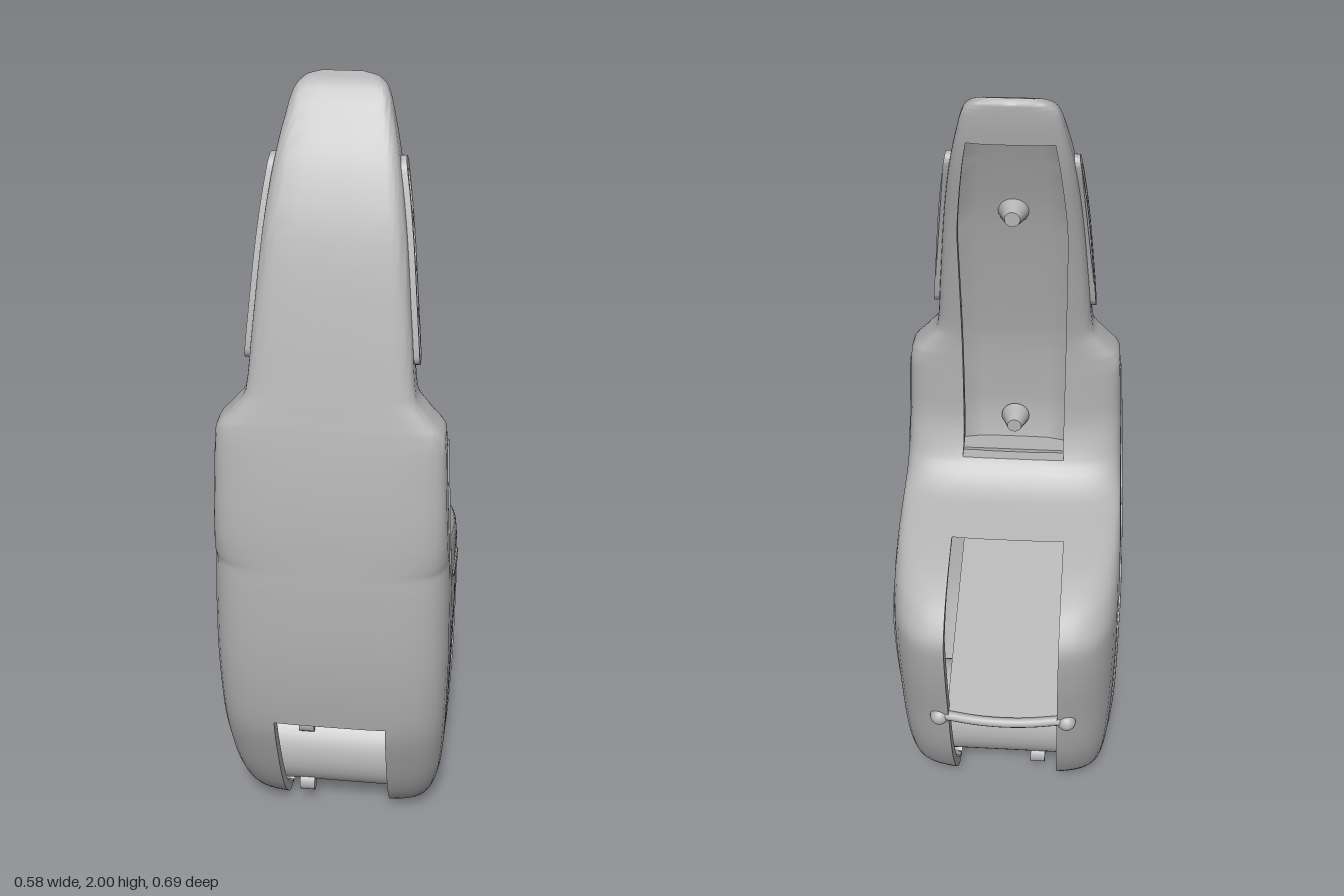
import * as THREE from 'three';
import { toCreasedNormals } from 'three/addons/utils/BufferGeometryUtils.js';

const grey = new THREE.MeshStandardMaterial({ color: 0xb4b4b4, side: THREE.DoubleSide });
grey.name = 'plain grey';

// height, half width, back z, front z
const PROFILE = [
  [0, .175, .005, .005], [.02, .215, -.06, .075], [.05, .242, -.10, .115], [.135, .268, -.173, .185],
  [.28, .282, -.244, .257], [.44, .288, -.288, .313], [.63, .29, -.335, .338], [.73, .288, -.348, .343],
  [.80, .287, -.302, .344], [.85, .285, -.212, .344], [.885, .283, -.09, .343], [.92, .281, .055, .342],
  [.98, .278, .125, .34], [1.1, .272, .16, .33], [1.25, .263, .158, .308], [1.29, .23, .155, .30],
  [1.34, .193, .147, .29], [1.47, .18, .12, .263], [1.68, .16, .07, .212], [1.82, .14, .03, .158],
  [1.92, .118, .008, .1], [1.97, .102, .002, .064], [1.99, .08, .001, .042], [2, .045, .015, .015],
];

// Smooth monotone interpolation of one profile column
function column(y, k) {
  const P = PROFILE, last = P.length - 1;
  let i = 0;
  while (i < last - 1 && y > P[i + 1][0]) i++;
  const sec = j => (P[j + 1][k] - P[j][k]) / (P[j + 1][0] - P[j][0]);
  const slope = j => {
    if (j === 0) return sec(0);
    if (j === last) return sec(last - 1);
    const a = sec(j - 1), b = sec(j);
    return a * b <= 0 ? 0 : 2 * a * b / (a + b);
  };
  const h = P[i + 1][0] - P[i][0], t = (y - P[i][0]) / h, s = 1 - t;
  return P[i][k] * (1 + 2 * t) * s * s + h * slope(i) * t * s * s
    + P[i + 1][k] * t * t * (3 - 2 * t) - h * slope(i + 1) * t * t * s;
}
const section = y => ({ w: column(y, 1), zb: column(y, 2), zf: column(y, 3) });

const K = 9, N = 6, BACK = 3.8;
// The front edge is squarer on the arm and its rounding has a limited depth
const frontPower = y => 4 + 2 * THREE.MathUtils.smoothstep(y, 1.1, 1.35);
const frontMid = (zb, zf) => Math.max((zb + zf) / 2, zf - .17);

// Half width of the slot, openings and recess
const openingWidth = (y, w) => y < .9 ? .14 : Math.min(.14 - .012 * Math.min(1, (y - .9) / .1), .78 * w);

// Closed rounded outline at height y; its straight spans lie between the opening edges
function ring(y, inner) {
  let { w, zb, zf } = section(y);
  const c = openingWidth(y, w);
  if (inner) {
    const depth = zf - zb, arm = y > .95;
    zf -= arm ? .57 * depth : Math.min(.035, .3 * depth);
    zb += arm ? .15 * depth : Math.min(.035, .3 * depth);
    w = arm ? c + .005 : Math.max(w - .03, c + .008);
  }
  const front = [frontMid(zb, zf), zf, frontPower(y)], back = [(zb + zf) / 2, zb, BACK];
  const zAt = (x, [mid, end, n]) =>
    mid + (end - mid) * Math.pow(Math.max(0, 1 - Math.pow(Math.abs(x) / w, n)), 1 / n);
  const quarter = curve => {
    const n = curve[2], t0 = Math.asin(Math.pow(c / w, n / 2)), pts = [];
    for (let i = 0; i <= K; i++) {
      const x = w * Math.pow(Math.sin(t0 + (Math.PI / 2 - t0) * i / K), 2 / n);
      pts.push([x, y, zAt(x, curve)]);
    }
    return pts;
  };
  const half = [...quarter(front), ...quarter(back).reverse()];
  const span = (from, curve) => Array.from({ length: N - 1 }, (_, i) => {
    const x = from * (1 - 2 * (i + 1) / N);
    return [x, y, zAt(x, curve)];
  });
  const mirrored = half.map(([x, yy, z]) => [-x, yy, z]).reverse();
  return [...half, ...span(c, back), ...mirrored, ...span(-c, front)];
}

// Hollow shell with the rear slot, front opening and upper recess left out
function shellGeometry() {
  const ys = [];
  for (let i = 0; i < PROFILE.length - 1; i++)
    for (let k = 0; k < 4; k++) ys.push(THREE.MathUtils.lerp(PROFILE[i][0], PROFILE[i + 1][0], k / 4));
  ys.push(2);
  const outer = ys.map(y => ring(y, false)), inside = ys.map(y => ring(y, true));
  const M = outer[0].length, S = 2 * K + 1, pos = [];
  const solid = (i, j) => {
    if (j < 0 || j >= ys.length - 1) return false;
    i = (i + M) % M;
    const y = (ys[j] + ys[j + 1]) / 2;
    if (i >= S && i < S + N) return !(y < .885 || (y > .99 && y < 1.9));
    if (i >= 2 * S + N) return y > .44;
    return true;
  };
  const quad = (a, b, c, d) => pos.push(...a, ...b, ...c, ...a, ...c, ...d);
  for (let j = 0; j < ys.length - 1; j++) for (let i = 0; i < M; i++) {
    if (!solid(i, j)) continue;
    const n = (i + 1) % M;
    const corners = [[j, i], [j, n], [j + 1, n], [j + 1, i]];
    const o = corners.map(([r, k]) => outer[r][k]), q = corners.map(([r, k]) => inside[r][k]);
    quad(...o);
    quad(q[3], q[2], q[1], q[0]);
    [[i, j - 1], [i + 1, j], [i, j + 1], [i - 1, j]].forEach(([a, b], e) => {
      const f = (e + 1) % 4;
      if (!solid(a, b)) quad(o[e], q[e], q[f], o[f]);
    });
  }
  const g = new THREE.BufferGeometry();
  g.setAttribute('position', new THREE.Float32BufferAttribute(pos, 3));
  return toCreasedNormals(g, .75);
}

// Stadium outline along y
function stadium(path, y0, y1, r) {
  const pts = [];
  for (let i = 0; i <= 10; i++) pts.push([r * Math.cos(Math.PI * i / 10), y1 - r + r * Math.sin(Math.PI * i / 10)]);
  for (let i = 1; i < 10; i++) pts.push([-r, THREE.MathUtils.lerp(y1 - r, y0 + r, i / 10)]);
  for (let i = 0; i <= 10; i++) pts.push([-r * Math.cos(Math.PI * i / 10), y0 + r - r * Math.sin(Math.PI * i / 10)]);
  for (let i = 1; i < 10; i++) pts.push([r, THREE.MathUtils.lerp(y0 + r, y1 - r, i / 10)]);
  path.setFromPoints(pts.map(p => new THREE.Vector2(...p)));
  return path;
}

// Slotted side grip bent to follow the arm
function gripGeometry(side) {
  const shape = stadium(new THREE.Shape(), 1.4, 1.84, .026);
  for (let i = 0; i < 4; i++) shape.holes.push(stadium(new THREE.Path(), 1.418 + i * .102, 1.508 + i * .102, .013));
  const g = new THREE.ExtrudeGeometry(shape, { depth: .027, bevelEnabled: false });
  const p = g.attributes.position;
  for (let i = 0; i < p.count; i++) {
    const d = p.getX(i), y = p.getY(i), t = (y - 1.4) / .44;
    p.setXYZ(i, side * (column(y, 1) - .014 + p.getZ(i)), y, .21 - .075 * t - .04 * t * t - d);
  }
  if (side < 0) { // restore winding after mirroring
    for (let i = 0; i < p.count; i += 3) {
      const a = [p.getX(i), p.getY(i), p.getZ(i)];
      p.setXYZ(i, p.getX(i + 1), p.getY(i + 1), p.getZ(i + 1));
      p.setXYZ(i + 1, ...a);
    }
  }
  return toCreasedNormals(g, .6);
}

// Point on the side skin
function sidePoint(side, z, y) {
  const { w, zb, zf } = section(y), fm = frontMid(zb, zf), bm = (zb + zf) / 2;
  const r = z > fm ? (z - fm) / (zf - fm) : z < bm ? (z - bm) / (zb - bm) : 0;
  const n = z > fm ? frontPower(y) : BACK;
  return new THREE.Vector3(side * w * Math.pow(Math.max(0, 1 - Math.pow(r, n)), 1 / n), y, z);
}

export function createModel() {
  const model = new THREE.Group();
  const add = (name, geometry, x = 0, y = 0, z = 0) => {
    const m = new THREE.Mesh(geometry, grey);
    m.name = name;
    m.position.set(x, y, z);
    model.add(m);
    return m;
  };

  add('shell', shellGeometry());

  // Inner partitions
  add('recessFloor', new THREE.BoxGeometry(.28, .03, .16), 0, .972, .24);
  const shelf = add('slotShelf', new THREE.BoxGeometry(.29, .015, .61), 0, .53, .008);
  shelf.rotation.x = -.29;

  // Roller between the lower cheeks, with clips front and back
  add('roller', new THREE.CylinderGeometry(.125, .125, .46, 40).rotateZ(Math.PI / 2), 0, .185, .02);
  for (const y of [.29, .09]) for (const z of [.1, -.06])
    add('rollerClip', new THREE.CylinderGeometry(.03, .03, .04, 20).rotateZ(Math.PI / 2), -.085, y, z);

  // Curved bar across the rear slot
  const bar = new THREE.CatmullRomCurve3([[-.15, -.277], [-.07, -.29], [0, -.294], [.07, -.29], [.15, -.277]]
    .map(([x, z]) => new THREE.Vector3(x, .445, z)));
  add('rearBar', new THREE.TubeGeometry(bar, 24, .013, 10));

  // Pegs in the upper recess
  for (const [y, z] of [[1.685, .105], [1.05, .2]])
    add('recessPeg', new THREE.CylinderGeometry(.018, .036, .05, 20).rotateX(-Math.PI / 2), 0, y, z);

  for (const side of [1, -1]) {
    add('sideGrip', gripGeometry(side));
    add('barKnob', new THREE.SphereGeometry(.024, 20, 14), side * .165, .44, -.275);
    // Seam around the side panel
    const seam = new THREE.CatmullRomCurve3([[.01, .01], [0, .06], [-.03, .15], [-.09, .36], [-.155, .6], [-.16, .67],
      [-.125, .72], [0, .765], [.14, .805], [.2, .85], [.228, .92], [.23, 1.05], [.22, 1.22]]
      .map(([z, y]) => sidePoint(side, z, y)));
    add('panelSeam', new THREE.TubeGeometry(seam, 80, .004, 6));
  }
  return model;
}
